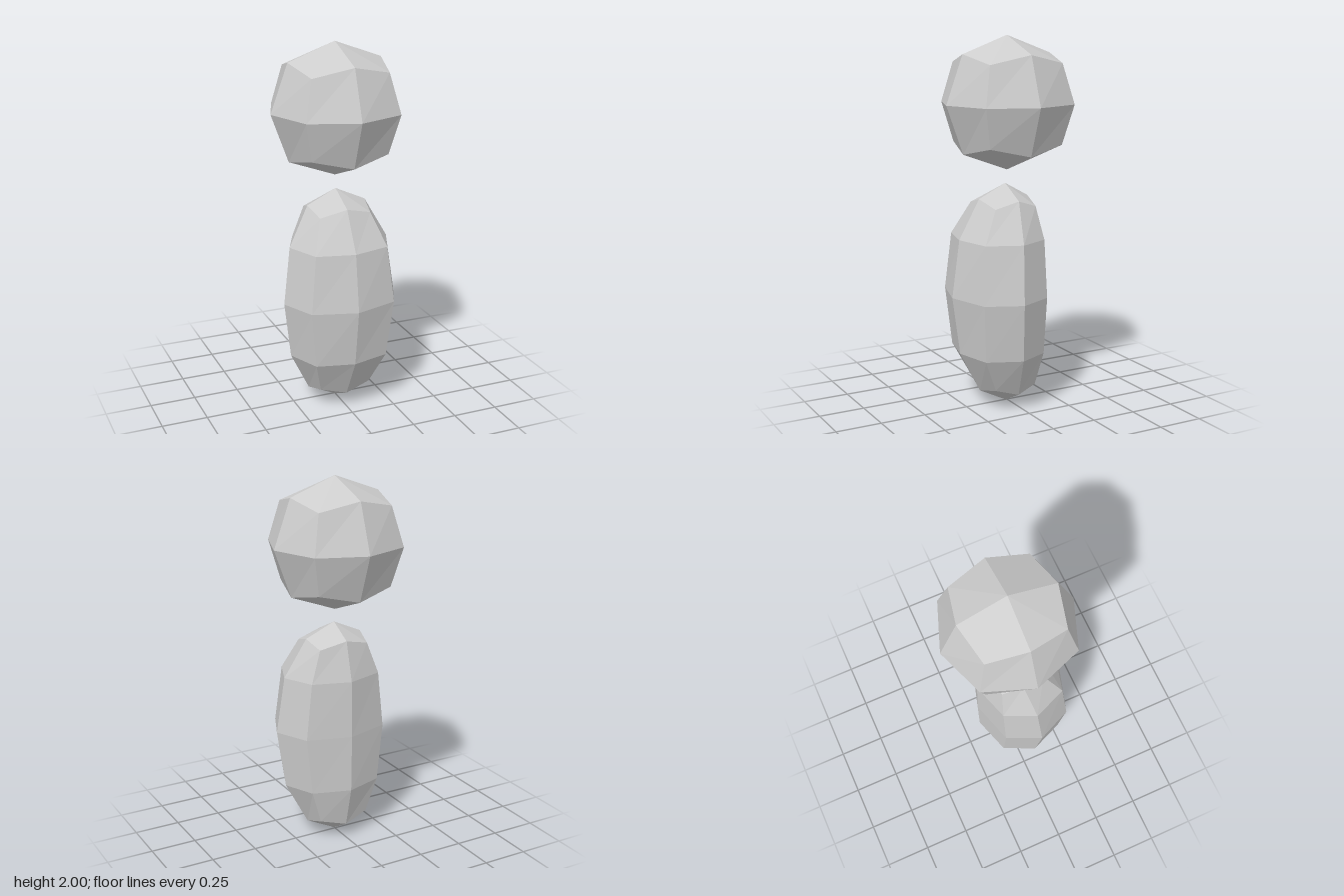
import * as THREE from 'three';

const grey = new THREE.MeshStandardMaterial({ color: 0xcccccc, flatShading: true });
grey.name = 'plainGrey';

// Eight-point ring, running front -> left -> back -> right, mirrored in x.
// z lists: front, front corner, side, back corner, back.
function ring(yMid, yCorner, xCorner, xSide, z) {
  const half = [0, xCorner, xSide, xCorner, 0].map((x, i) =>
    [x, i % 2 ? yCorner : yMid, z[i]]);
  const mirrored = [3, 2, 1].map(i => [-half[i][0], half[i][1], half[i][2]]);
  return [...half, ...mirrored];
}

// Rounded block: rings from bottom to top, closed with four quads at each end.
function roundedBlock(name, bottom, rings, top) {
  const pos = [];
  const quad = (a, b, c, d) => pos.push(...a, ...b, ...c, ...a, ...c, ...d);
  for (let r = 0; r < rings.length - 1; r++) {
    const lo = rings[r], hi = rings[r + 1];
    for (let k = 0; k < 8; k++) {
      const n = (k + 1) % 8;
      quad(lo[k], lo[n], hi[n], hi[k]);
    }
  }
  const first = rings[0], last = rings[rings.length - 1];
  for (let k = 0; k < 8; k += 2) {
    const n = (k + 2) % 8;
    quad(top, last[k], last[k + 1], last[n]);
    quad(bottom, first[n], first[k + 1], first[k]);
  }
  const geo = new THREE.BufferGeometry();
  geo.setAttribute('position', new THREE.Float32BufferAttribute(pos, 3));
  geo.computeVertexNormals();
  const mesh = new THREE.Mesh(geo, grey);
  mesh.name = name;
  return mesh;
}

export function createModel() {
  const group = new THREE.Group();
  group.name = 'figure';

  // Head: regular faceted ball
  const R = 0.354, E = 0.259, C = 0.212;
  const capZ = [E, C, 0, -C, -E];
  const head = roundedBlock('head', [0, -R, 0], [
    ring(-E, -C, C, E, capZ),
    ring(0, 0, E, R, [R, E, 0, -E, -R]),
    ring(E, C, C, E, capZ),
  ], [0, R, 0]);
  head.position.y = 2 - R;
  group.add(head);

  // Body: tall rounded block, fuller at the front and flatter at the back
  const endZ = [0.168, 0.145, 0.018, -0.095, -0.125];
  const waistZ = [0.286, 0.235, 0.052, -0.115, -0.18];
  group.add(roundedBlock('body', [0, 0.003, 0.01], [
    ring(0.083, 0.12, 0.143, 0.165, endZ),
    ring(0.31, 0.31, 0.203, 0.28, waistZ),
    ring(0.625, 0.625, 0.236, 0.321, [0.33, 0.26, 0.07, -0.115, -0.186]),
    ring(0.935, 0.935, 0.203, 0.28, waistZ),
    ring(1.145, 1.108, 0.143, 0.165, endZ),
  ], [0, 1.22, 0.01]));

  return group;
}
